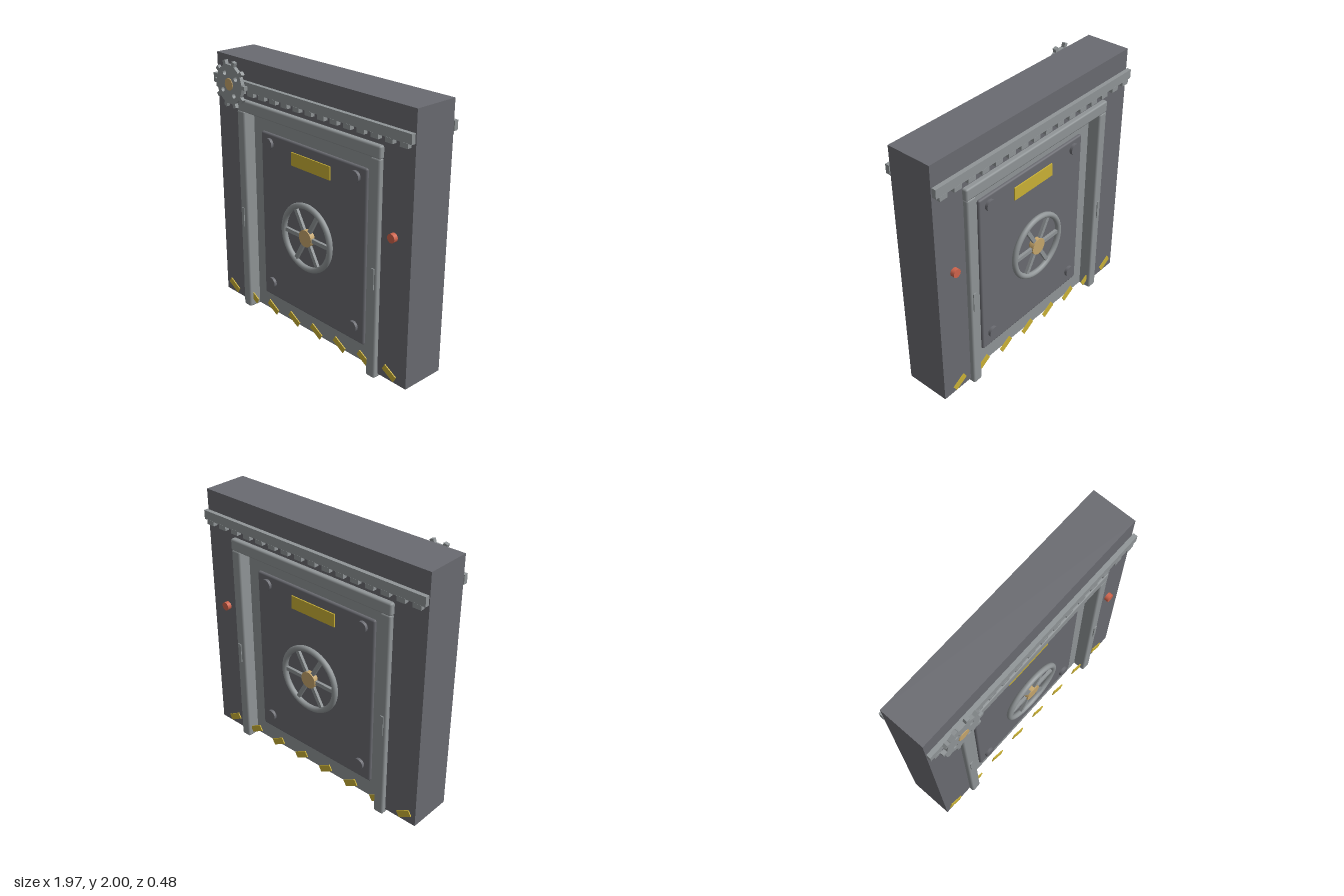
import * as THREE from 'three';
import { RoundedBoxGeometry } from 'three/addons/geometries/RoundedBoxGeometry.js';

const ZC = -0.023; // middle of the wall's thickness

const mat = (name, color) => {
  const m = new THREE.MeshStandardMaterial({ color });
  m.name = name;
  return m;
};

export function createModel() {
  const dark = mat('dark steel', 0x6a6b71);
  const metal = mat('light steel', 0x909597);
  const brass = mat('brass', 0xc6a66c);
  const yellow = mat('warning yellow', 0xcab136);
  const red = mat('button red', 0xcf644c);

  const root = new THREE.Group();
  root.name = 'vaultDoor';
  const body = new THREE.Group();
  body.name = 'doorAssembly';
  body.position.z = ZC;
  root.add(body);

  const add = (parent, name, geo, material, x = 0, y = 0, z = 0) => {
    const m = new THREE.Mesh(geo, material);
    m.name = name;
    m.position.set(x, y, z);
    parent.add(m);
    return m;
  };
  const box = (w, h, d) => new THREE.BoxGeometry(w, h, d);
  const bevelBox = (w, h, d, r = 0.013) => new RoundedBoxGeometry(w, h, d, 1, r);
  const disc = (r, d, n = 24) => new THREE.CylinderGeometry(r, r, d, n).rotateX(Math.PI / 2);

  // Wall with a doorway open at the bottom
  const wall = new THREE.Shape([
    [-0.987, 0.03], [-0.69, 0.03], [-0.69, 1.66], [0.69, 1.66],
    [0.69, 0.03], [0.987, 0.03], [0.987, 2], [-0.987, 2],
  ].map(([x, y]) => new THREE.Vector2(x, y)));
  const wallGeo = new THREE.ExtrudeGeometry(wall, { depth: 0.344, bevelEnabled: false });
  add(body, 'wall', wallGeo, dark, 0, 0, -0.172);

  // Frame running through the wall
  for (const s of [-1, 1]) {
    add(body, 'framePost', bevelBox(0.08, 1.62, 0.418), metal, s * 0.684, 0.81, 0);
  }
  add(body, 'frameLintel', bevelBox(1.456, 0.09, 0.418), metal, 0, 1.66, 0);

  // Recessed door leaf
  add(body, 'doorLeaf', box(1.32, 1.61, 0.226), metal, 0, 0.815, 0);
  add(body, 'doorPanel', bevelBox(1.084, 1.33, 0.266), dark, 0, 0.82, 0);

  // Parts repeated on the front (s = 1) and the back (s = -1)
  for (const s of [1, -1]) {
    const side = new THREE.Group();
    side.name = s > 0 ? 'frontFittings' : 'backFittings';
    body.add(side);
    const put = (name, geo, m, x, y, z) => add(side, name, geo, m, x, y, s * z);

    for (const x of [-0.445, 0.445]) {
      for (const y of [0.275, 1.41]) put('bolt', disc(0.042, 0.03), dark, x, y, 0.14);
    }
    put('signPlate', box(0.4, 0.1, 0.009), yellow, 0, 1.36, 0.1375);
    for (const x of [-0.692, 0.692]) put('latch', box(0.027, 0.155, 0.02), metal, x, 0.772, 0.206);
    put('button', disc(0.032, 0.034, 16), red, 0.837, 1.115, 0.188);

    // Hand wheel
    put('wheelRim', new THREE.TorusGeometry(0.243, 0.022, 12, 48), metal, 0, 0.82, 0.178);
    for (let i = 0; i < 3; i++) {
      const spoke = put('wheelSpoke', box(0.46, 0.03, 0.022), metal, 0, 0.82, 0.176);
      spoke.rotation.z = (i * Math.PI) / 3;
    }
    put('wheelHub', disc(0.065, 0.034), brass, 0, 0.82, 0.178);
    put('wheelShaft', disc(0.035, 0.06), brass, 0, 0.82, 0.15);

    // Hazard stripes along the bottom
    for (let i = 0; i < 8; i++) {
      const stripe = put('hazardStripe', box(0.12, 0.05, 0.008), yellow, -0.89 + i * 0.2467, 0.09, 0.176);
      stripe.rotation.z = -Math.PI / 6;
    }

    // Toothed rail
    put('rail', box(1.974, 0.068, 0.032), metal, 0, 1.816, 0.197);
    for (let i = 0; i < 16; i++) {
      put('railTooth', box(0.065, 0.034, 0.034), metal, (i - 7.5) * 0.1234, 1.767, 0.197);
    }
  }

  // Gear with ten square teeth and four round holes
  const gear = new THREE.Group();
  gear.name = 'gear';
  gear.position.set(-0.742, 1.815, 0.22);
  root.add(gear);
  const outline = [];
  for (let i = 0; i < 10; i++) {
    const a = (i * Math.PI) / 5;
    for (const [r, d] of [[0.146, -0.16], [0.146, -0.1], [0.178, -0.085], [0.178, 0.085], [0.146, 0.1], [0.146, 0.16]]) {
      outline.push(new THREE.Vector2(r * Math.cos(a + d), r * Math.sin(a + d)));
    }
  }
  const gearShape = new THREE.Shape(outline);
  for (let i = 0; i < 4; i++) {
    const a = 2.15 + (i * Math.PI) / 2;
    gearShape.holes.push(new THREE.Path().absarc(0.092 * Math.cos(a), 0.092 * Math.sin(a), 0.02, 0, Math.PI * 2, true));
  }
  const gearGeo = new THREE.ExtrudeGeometry(gearShape, { depth: 0.028, bevelEnabled: false, curveSegments: 8 });
  add(gear, 'gearDisc', gearGeo, metal, 0, 0, -0.014);
  add(gear, 'gearHub', disc(0.045, 0.038), brass);

  return root;
}
